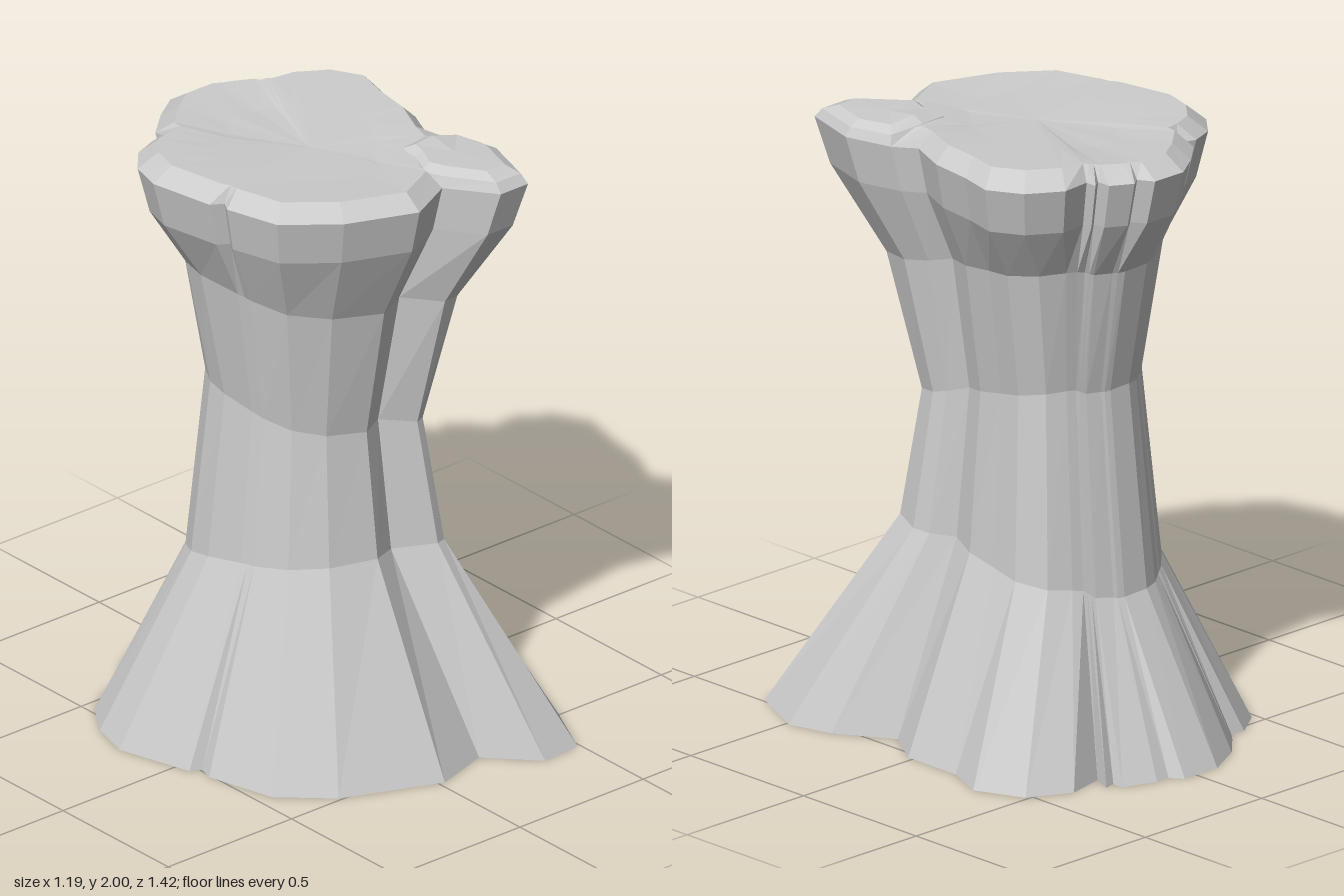
import * as THREE from 'three';

const material = new THREE.MeshStandardMaterial({ color: 0xcccccc, flatShading: true, side: THREE.DoubleSide });

// Plan outlines as [x, z]; all three share the same vertical columns.
const base = [
  [-.09, -.71], [.05, -.71], [.08, -.67], [.13, -.67], [.24, -.63], [.24, -.59], [.28, -.6], [.25, -.53],
  [.38, -.56], [.52, -.49], [.59, -.33], [.53, -.19], [.53, .02], [.44, .16], [.55, .34], [.59, .49],
  [.49, .7], [.35, .71], [.21, .56], [.02, .62], [-.3, .49], [-.45, .35], [-.51, .12], [-.495, .07],
  [-.53, .05], [-.6, -.2], [-.56, -.34], [-.48, -.46], [-.38, -.53], [-.33, -.525], [-.3, -.56], [-.22, -.64]];
const waist = [
  [-.06, -.35], [.02, -.35], [.04, -.345], [.05, -.34], [.1, -.325], [.11, -.32], [.12, -.315], [.13, -.31],
  [.16, -.3], [.22, -.27], [.26, -.19], [.25, -.1], [.24, 0], [.2, .09], [.24, .15], [.25, .2],
  [.22, .28], [.19, .29], [.09, .22], [.01, .26], [-.12, .22], [-.2, .15], [-.24, .06], [-.245, .04],
  [-.25, .02], [-.26, -.1], [-.25, -.18], [-.21, -.25], [-.17, -.29], [-.155, -.3], [-.145, -.305], [-.11, -.33]];
const rim = [
  [-.07, -.58], [.05, -.58], [.08, -.53], [.11, -.55], [.18, -.51], [.18, -.46], [.21, -.48], [.21, -.44],
  [.31, -.45], [.42, -.38], [.48, -.27], [.45, -.15], [.43, 0], [.37, .14], [.42, .21], [.46, .37],
  [.4, .57], [.29, .57], [.18, .42], [.02, .5], [-.21, .41], [-.37, .28], [-.42, .1], [-.4, .065],
  [-.44, .04], [-.48, -.18], [-.45, -.29], [-.38, -.37], [-.3, -.4], [-.24, -.38], [-.25, -.44], [-.16, -.52]];
const cracks = [2, 5, 7, 23, 29];

// Small repeatable unevenness for the worn stone.
const bump = (i, amount) => amount * Math.sin(i * 12.9898 + 4);

// Place an outline at a height, scaled about a centre, tilted along z and roughened.
const ring = (outline, y, { scale = 1, cx = 0, cz = 0, tilt = 0, rough = 0 } = {}) =>
  outline.map(([x, z], i) => [cx + (x - cx) * scale, y + tilt * z + bump(i, rough), cz + (z - cz) * scale]);

const mix = (a, b, t) => a.map(([x, z], i) => [x + (b[i][0] - x) * t, z + (b[i][1] - z) * t]);

// Close the cracks by moving their columns midway between the neighbours.
const closeCracks = (outline) => outline.map((p, i) => cracks.includes(i)
  ? [0, 1].map((k) => (outline[i - 1][k] + outline[i + 1][k]) / 2) : p);

// Skin successive closed rings, optionally closing the last one to a point.
function loft(name, rings, tip) {
  const n = rings[0].length;
  const position = rings.flat(2);
  const index = [];
  for (let r = 0; r < rings.length - 1; r++) {
    for (let i = 0; i < n; i++) {
      const j = (i + 1) % n, a = r * n, b = a + n;
      index.push(a + i, b + i, a + j, a + j, b + i, b + j);
    }
  }
  if (tip) {
    const a = (rings.length - 1) * n;
    position.push(...tip);
    for (let i = 0; i < n; i++) index.push(a + i, a + n, a + (i + 1) % n);
  }
  const geometry = new THREE.BufferGeometry();
  geometry.setAttribute('position', new THREE.Float32BufferAttribute(position, 3));
  geometry.setIndex(index);
  geometry.computeVertexNormals();
  const mesh = new THREE.Mesh(geometry, material);
  mesh.name = name;
  return mesh;
}

export function createModel() {
  const group = new THREE.Group();
  group.name = 'rockPillar';

  // Flared, hollow-bottomed column; cracks open only towards the foot and the rim
  group.add(loft('column', [
    ring(base, 0),
    ring(waist, .61, { scale: 1.19, tilt: .22, rough: .02 }),
    ring(waist, 1.13, { tilt: -.17, rough: .015 }),
    ring(mix(waist, closeCracks(rim), .33), 1.56, { tilt: -.1, rough: .015 }),
    ring(rim, 1.78, { scale: .93 }),
    ring(rim, 1.93),
  ]));

  // Main top: bevelled edge, cutting inside the front knob
  const cap = rim.map(([x, z], i) => {
    const s = cracks.includes(i) ? .93 : .88;
    return [x * s, z * s];
  });
  [[.31, .18], [.24, .24], [.19, .29], [.16, .34]].forEach((p, i) => { cap[14 + i] = p; });
  group.add(loft('topSurface', [
    ring(rim, 1.93),
    ring(cap, 1.98, { rough: .004 }),
    ring(closeCracks(cap), 1.972, { scale: .6, rough: .007 }),
  ], [0, 1.968, 0]));

  // Small rugged knob at the front left corner, slightly higher than the main top
  const knob = [...rim.slice(14, 19), [.14, .35], [.18, .26], [.19, .19], [.3, .18]];
  group.add(loft('topKnob', [
    ring(knob, 1.93),
    ring(knob, 1.97, { scale: .9, cx: .3, cz: .34, rough: .01 }),
    ring(knob, 1.99, { scale: .68, cx: .3, cz: .34, rough: .01 }),
  ], [.3, 1.985, .34]));

  return group;
}
